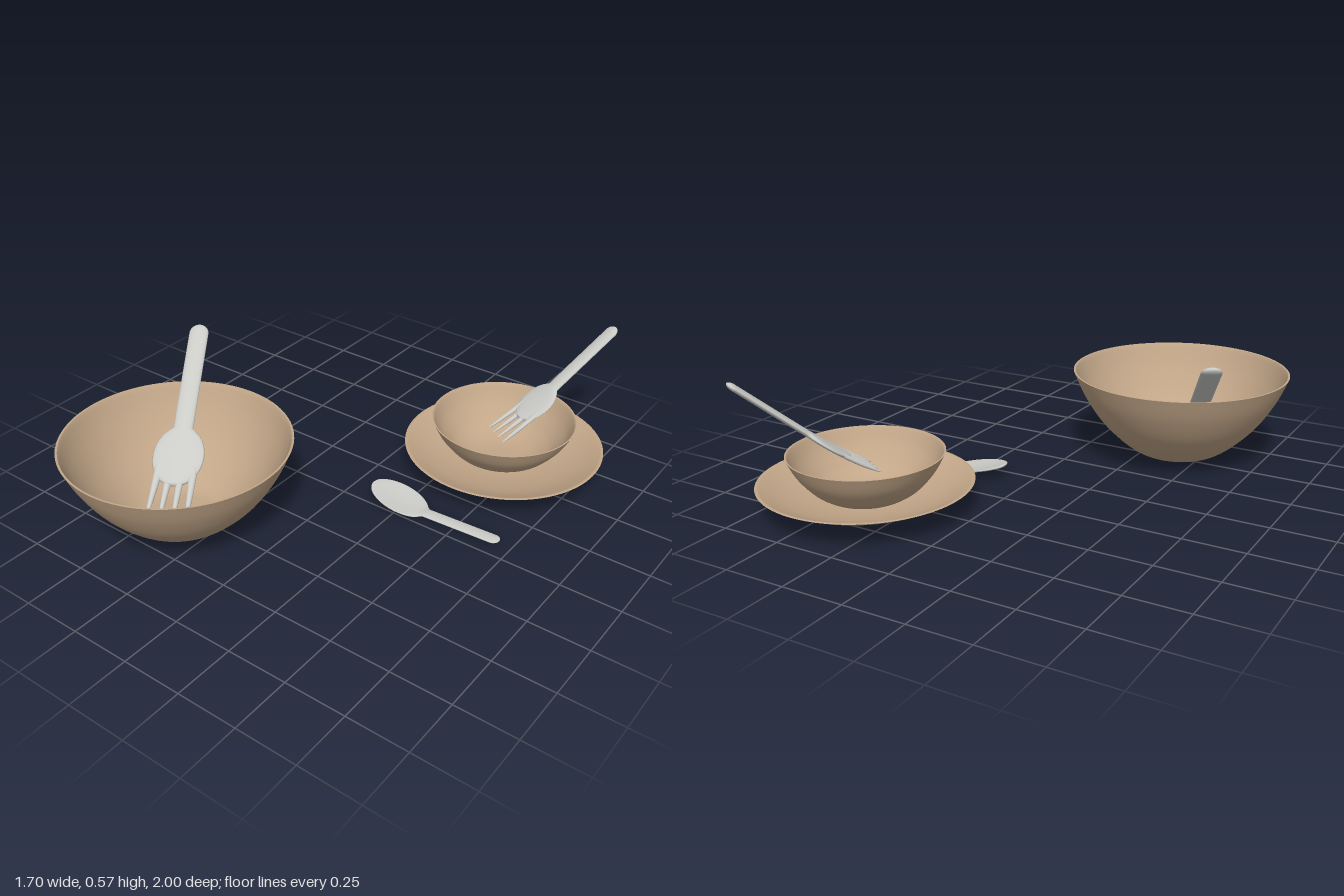
import * as THREE from 'three';

const wood = new THREE.MeshStandardMaterial({ color: 0xc2a688 });
wood.name = 'wood';
const metal = new THREE.MeshStandardMaterial({ color: 0xcacac6 });
metal.name = 'metal';

// Turned vessel: smooth outer wall, thin rim, inner wall
function vessel(name, outline, wall, x, z) {
  const outer = new THREE.SplineCurve(outline.map(([r, y]) => new THREE.Vector2(r, y))).getPoints(40);
  outer[0].x = 0;
  const inner = outer.map((p, i) => {
    const a = outer[Math.max(i - 1, 0)], b = outer[Math.min(i + 1, outer.length - 1)];
    const d = b.clone().sub(a).normalize();
    return new THREE.Vector2(Math.max(p.x - d.y * wall, 0), p.y + d.x * wall);
  }).reverse();
  inner[0].y = outer[outer.length - 1].y;
  inner[inner.length - 1].x = 0;
  const group = new THREE.Group();
  group.name = name;
  const parts = { outerWall: outer, rim: [outer[outer.length - 1], inner[0]], innerWall: inner };
  for (const [part, points] of Object.entries(parts)) {
    const mesh = new THREE.Mesh(new THREE.LatheGeometry(points, 96), wood);
    mesh.name = part;
    group.add(mesh);
  }
  group.position.set(x, 0, z);
  return group;
}

// Flattened bar along x, from x0 to x1; width, bend and dip follow rules
function loft(name, x0, x1, { width, thick, bend, dip = () => 0, side = () => 0 }) {
  const rows = 72, sides = 24, pos = [], index = [];
  for (let i = 0; i <= rows; i++) {
    const x = x0 + (x1 - x0) * (1 - Math.cos(Math.PI * i / rows)) / 2;
    const w = Math.max(width(x), 0.0005), t = thick(w);
    for (let j = 0; j < sides; j++) {
      const a = 2 * Math.PI * j / sides, s = Math.sin(a);
      pos.push(x, bend(x) + t * s - dip(x) * s * s, side(x) + w * Math.cos(a));
      if (i < rows) {
        const k = (j + 1) % sides, p = i * sides, q = p + sides;
        index.push(p + j, q + j, p + k, q + j, q + k, p + k);
      }
    }
  }
  const geo = new THREE.BufferGeometry();
  geo.setAttribute('position', new THREE.Float32BufferAttribute(pos, 3));
  geo.setIndex(index);
  geo.computeVertexNormals();
  const mesh = new THREE.Mesh(geo, metal);
  mesh.name = name;
  return mesh;
}

// Half-width of a round-ended handle that flows into an oval head
const oval = (x, c, a) => Math.sqrt(Math.max(0, 1 - ((x - c) / a) ** 2));
function cutleryWidth(r, c, a, b) {
  return x => Math.max(x < r ? r * oval(x, r, r) : x < c ? r : 0, b * oval(x, c, a));
}

function fork(name, scale, pitch, dirX, dirZ, position) {
  const group = new THREE.Group();
  group.name = name;
  const bend = x => 0.25 * Math.max(0, x - 0.48) ** 2;
  group.add(loft('handleAndHead', 0, 0.72, {
    width: cutleryWidth(0.041, 0.59, 0.13, 0.106),
    thick: w => 0.016 * Math.min(1, w / 0.04),
    bend,
  }));
  // Four tapering tines
  for (let i = 0; i < 4; i++) {
    const z = (i - 1.5) * 0.054;
    group.add(loft('tine', 0.6, 0.88, {
      width: x => 0.019 * Math.sqrt(Math.max(0, (0.88 - x) / 0.28)),
      thick: w => Math.min(w, 0.012),
      bend,
      side: x => z * (0.85 + 0.15 * (x - 0.6) / 0.28),
    }));
  }
  group.scale.setScalar(scale);
  group.rotation.set(0, Math.atan2(-dirZ, dirX), -pitch, 'YXZ');
  group.position.set(...position);
  return group;
}

function spoon() {
  const group = new THREE.Group();
  group.name = 'spoon';
  const c = 0.467, a = 0.13;
  group.add(loft('handleAndBowl', 0, c + a, {
    width: cutleryWidth(0.028, c, a, 0.086),
    thick: w => 0.007 * Math.min(1, w / 0.028),
    bend: x => -0.04 * Math.min(x, 0.36) + 0.2 * Math.max(0, x - 0.36),
    dip: x => 0.012 * oval(x, c, a) ** 2,
  }));
  group.rotation.y = Math.PI;
  group.position.set(0.703, 0.022, -0.065);
  return group;
}

export function createModel() {
  const model = new THREE.Group();
  model.name = 'tableware';
  model.add(
    vessel('largeBowl', [[0, 0.015], [0.1, 0.015], [0.17, 0.026], [0.25, 0.08], [0.34, 0.172], [0.41, 0.28], [0.455, 0.38]], 0.009, -0.4, 0.545),
    vessel('smallBowl', [[0, 0.032], [0.08, 0.034], [0.14, 0.048], [0.19, 0.075], [0.225, 0.105], [0.27, 0.16], [0.305, 0.226]], 0.007, 0.412, -0.58),
    vessel('plate', [[0, 0.014], [0.12, 0.016], [0.22, 0.03], [0.32, 0.059], [0.42, 0.106]], 0.006, 0.422, -0.574),
    fork('largeFork', 1, 0.66, 0.486, 0.873, [-0.735, 0.563, 0.03]),
    fork('smallFork', 0.77, 0.7, -0.53, 0.848, [0.682, 0.565, -0.995]),
    spoon(),
  );
  return model;
}
